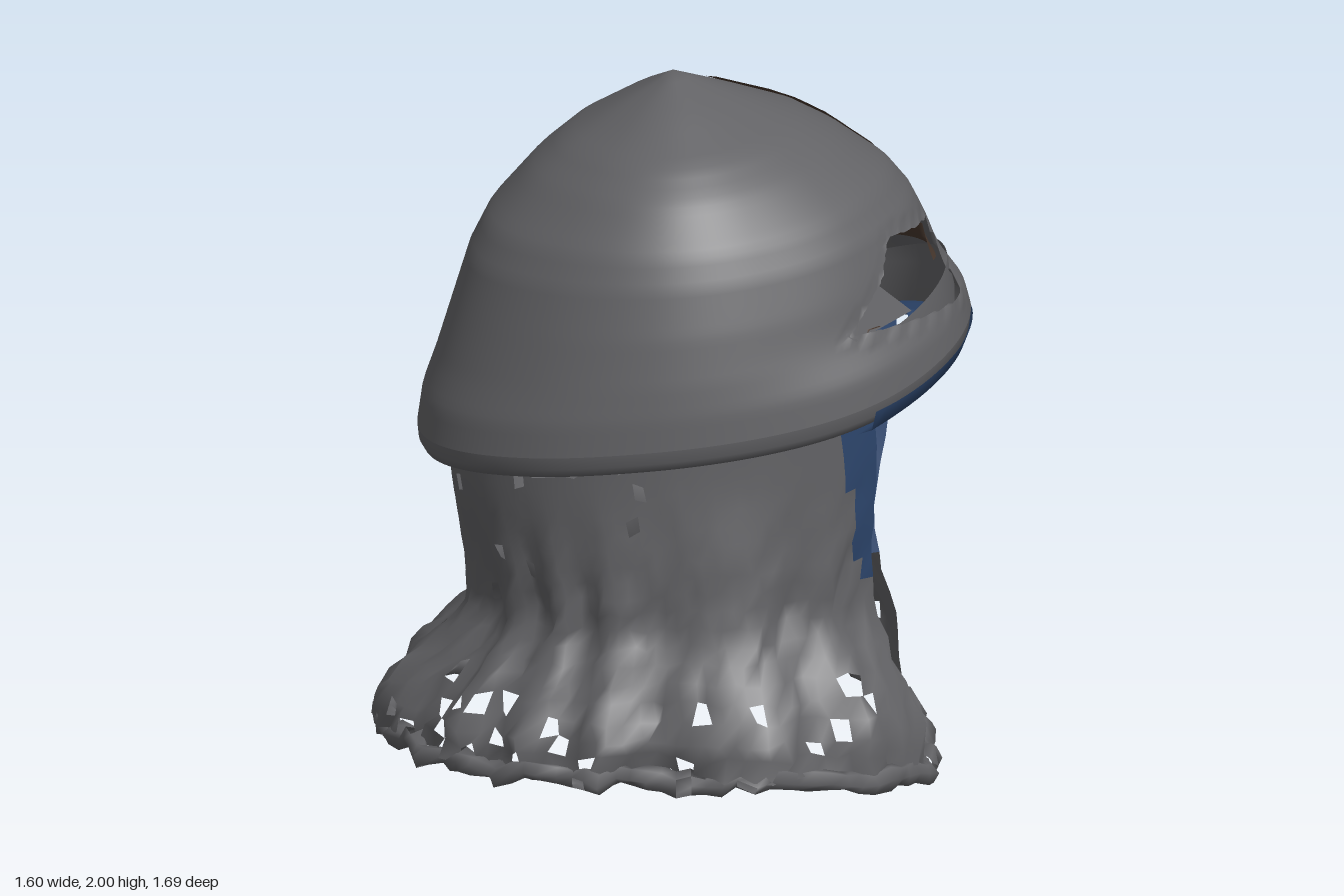
import * as THREE from 'three';
import { mergeVertices } from 'three/addons/utils/BufferGeometryUtils.js';

const rad = THREE.MathUtils.degToRad;
const lerp = THREE.MathUtils.lerp;
const smooth = THREE.MathUtils.smoothstep;

// Repeatable noise from 0 to 1
function hash(i, j, k = 0) {
  const s = Math.sin(i * 127.1 + j * 311.7 + k * 74.7) * 43758.5453;
  return s - Math.floor(s);
}

// Smooth periodic lookup: twelve values, one per 30 degrees (0 = +z, 90 = +x)
function around(values, az) {
  const t = (((az % 360) + 360) % 360) / 30, i = Math.floor(t), s = t - i;
  const p = k => values[(i + k + 12) % 12];
  return p(0) + 0.5 * s * (p(1) - p(-1) + s * (2 * p(-1) - 5 * p(0) + 4 * p(1) - p(2)
    + s * (3 * (p(0) - p(1)) + p(2) - p(-1))));
}

// 1 towards an azimuth, falling to 0 at right angles to it
const towards = (az, centre, power) => Math.pow(Math.max(0, Math.cos(rad(az - centre))), power);

// Surface from a point rule; keep() chooses cells, rows run downwards
function grid(point, nu, nv, keep = () => true) {
  const pos = [], idx = [];
  for (let j = 0; j <= nv; j++) for (let i = 0; i <= nu; i++) pos.push(...point(i, j));
  for (let j = 0; j < nv; j++) for (let i = 0; i < nu; i++) {
    if (!keep(i, j)) continue;
    const a = j * (nu + 1) + i, b = a + 1, c = a + nu + 1, d = c + 1;
    idx.push(a, c, b, b, c, d);
  }
  const g = new THREE.BufferGeometry();
  g.setAttribute('position', new THREE.Float32BufferAttribute(pos, 3));
  g.setIndex(idx);
  const merged = mergeVertices(g, 1e-4);
  merged.computeVertexNormals();
  return merged;
}

// Dome plan and profile: height fraction, radius along the long axis, across it, on the flat flank
const RIM = [0.77, 0.82, 0.82, 0.71, 0.645, 0.645, 0.68, 0.7, 0.73, 0.715, 0.69, 0.7];
const PROFILE = [[0, 1, 1, 1], [0.1, 0.98, 0.99, 0.95], [0.2, 0.93, 0.97, 0.88],
  [0.35, 0.865, 0.93, 0.78], [0.5, 0.8, 0.875, 0.7], [0.6, 0.73, 0.82, 0.64],
  [0.74, 0.56, 0.68, 0.53], [0.82, 0.43, 0.55, 0.43], [0.92, 0.2, 0.28, 0.2], [1, 0, 0, 0]];

function profile(f, az) {
  let k = 0;
  while (k < PROFILE.length - 2 && f > PROFILE[k + 1][0]) k++;
  const p = PROFILE[k], q = PROFILE[k + 1], t = (f - p[0]) / (q[0] - p[0]);
  const [, long, wide, flat] = p.map((v, n) => lerp(v, q[n], t));
  const across = Math.pow(Math.sin(rad(az - 38)), 4);
  const flank = Math.exp(-Math.pow((az - 80) / 22, 2));
  return lerp(lerp(long, wide, across), flat, flank);
}

function rimHeight(az) {
  const r = around(RIM, az), s = Math.sin(rad(az)), c = Math.cos(rad(az));
  return 1.1 + 0.17 * (r * (s + c) - 0.01) * 0.707 + 0.05 * towards(az, 38, 4)
    + 0.055 * towards(az, 280, 2) - 0.05 * towards(az, 115, 2);
}

function domeAt(az, scale, y) {
  const r = around(RIM, az) * scale;
  return [0.04 + r * Math.sin(rad(az)), y, -0.05 + r * Math.cos(rad(az))];
}

function dome(az, f, scale = 1, lift = 0) {
  const brow = 0.02 * towards(az, 20, 4) * Math.exp(-Math.pow((f - 0.24) / 0.1, 2));
  const h = rimHeight(az);
  return domeAt(az, (profile(f, az) - brow) * scale + lift, h + (2 - h) * f + lift * 0.6);
}

// Broken opening in the brow, as a front outline
const BREAK = [[-0.07, 1.385], [0.1, 1.51], [0.17, 1.6], [0.47, 1.56], [0.48, 1.36], [0.25, 1.37]];
const breakEdges = BREAK.map((p, i) => [p, BREAK[(i + 1) % BREAK.length]]);

function inBreak([x, y, z]) {
  let inside = false;
  for (const [[x1, y1], [x2, y2]] of breakEdges)
    if ((y1 > y) !== (y2 > y) && x < x1 + (y - y1) * (x2 - x1) / (y2 - y1)) inside = !inside;
  return inside && z > 0.2;
}

// Pull nearby points onto the outline so that the break has clean edges
function snapToBreak([x, y, z]) {
  let best = 0.017, out = [x, y, z];
  if (z > 0.2) for (const [[x1, y1], [x2, y2]] of breakEdges) {
    const dx = x2 - x1, dy = y2 - y1;
    const t = THREE.MathUtils.clamp(((x - x1) * dx + (y - y1) * dy) / (dx * dx + dy * dy), 0, 1);
    const px = x1 + t * dx, py = y1 + t * dy, d = Math.hypot(x - px, y - py);
    if (d < best) { best = d; out = [px, py, z]; }
  }
  return out;
}

// Neck curtain: tucked under the rim, narrow at the middle, flared hem
const HEM = [0.79, 0.68, 0.68, 0.73, 0.73, 0.74, 0.8, 0.82, 0.8, 0.76, 0.71, 0.77];
const HEM_Y = [0.11, 0.035, 0.05, 0.1, 0.1, 0.09, 0.08, 0.1, 0.14, 0.17, 0.18, 0.17];
const CU = 96, CV = 18;

function curtain(i, j) {
  const v = j / CV, e = Math.min(1, v * 1.6), edge = i < 4 || i > CU - 4;
  const az = lerp(lerp(68, 61, e), lerp(357, 365.5, e), i / CU);
  const s = Math.sin(rad(az)), c = Math.cos(rad(az)), front = towards(az, 30, 2);
  const top = rimHeight(az) - (edge ? 0.05 : 0.075) + 0.03 * (hash(i, 3) - 0.5);
  const y = lerp(top, around(HEM_Y, az) + 0.02, v);
  const [tx, , tz] = domeAt(az, 0.875 + 0.07 * front, 0);
  const w = smooth(v, 0, 0.55), flare = smooth(v, 0.52, 0.95);
  const folds = edge ? 0 : (0.006 + 0.022 * v) * Math.sin(rad(az) * 15 + 2 * Math.sin(rad(az) * 4));
  const r = lerp(0.57 + 0.06 * front, around(HEM, az), flare) + folds
    + 0.025 * (hash(i, j) - 0.5) * (0.3 + v);
  const jit = 0.035 * (hash(i, j, 5) - 0.5) * v, drop = 0.03 * (hash(i, j, 7) - 0.5) * v;
  return [lerp(tx, r * s, w) + jit * c, y + drop, lerp(tz, r * c, w) - jit * s];
}

function curtainTorn(i, j) {
  const v = j / CV;
  const chance = v > 0.72 ? 0.13 : v > 0.08 ? 0.014 : 0.03;
  return i > 2 && i < CU - 3 && hash(i, j, 9) < chance;
}

function curtainTrim(i, j) {
  const v = j / CV, width = v < 0.22 ? 3 : v < 0.42 ? 2 : 1;
  return (i < width && v < 0.58) || (i >= CU - width && v < 0.46);
}

export function createModel() {
  const group = new THREE.Group();
  const material = (name, color) =>
    new THREE.MeshStandardMaterial({ name, color, side: THREE.DoubleSide });
  const grey = material('dark steel', 0x626265);
  const blue = material('blue trim', 0x2d466d);
  const brown = material('brown leather', 0x48382e);
  const add = (name, geometry, mat) => {
    const m = new THREE.Mesh(geometry, mat);
    m.name = name;
    group.add(m);
  };

  // Dome shell with the broken brow
  const DU = 180, DV = 44;
  const shell = (i, j) => dome(i * 360 / DU, 1 - j / DV);
  add('dome', grid((i, j) => snapToBreak(shell(i, j)), DU, DV,
    (i, j) => !inBreak(shell(i + 0.5, j + 0.5))), grey);

  // Thin rim turned under and back up inside
  const lip = [[1, 0], [0.995, -0.035], [0.975, -0.06], [0.945, -0.055], [0.945, 0.06], [0.92, 0.15]];
  add('rim', grid((i, j) => {
    const az = i * 360 / DU;
    return domeAt(az, lip[j][0], rimHeight(az) + lip[j][1]);
  }, DU, lip.length - 1), grey);

  // Inner lining, from crown to just above the rim
  const lining = (i, j) => dome(i * 360 / DU, 1 - 0.8 * j / DV, 0.965);
  add('lining', grid((i, j) => snapToBreak(lining(i, j)), DU, DV,
    (i, j) => !inBreak(lining(i + 0.5, j + 0.5))), brown);

  // Bent plate left inside the break
  const flap = [[[-0.08, 1.39, 0.62], [0.1, 1.51, 0.54]], [[-0.06, 1.37, 0.64], [0.25, 1.365, 0.61]]];
  add('bentPlate', grid((i, j) => flap[j][i], 1, 1), grey);

  // Painted stripe on the side: height fraction and its two edge angles
  const stripe = [[0.92, 77, 88], [0.8, 63, 77], [0.7, 58, 73], [0.6, 56, 71], [0.5, 55, 70],
    [0.35, 54, 68.5], [0.2, 53.5, 67.5], [0.16, 56, 67.5]];
  add('stripe', grid((i, j) => {
    const [f, a, b] = stripe[Math.floor(j / 3)], n = stripe[Math.min(7, Math.floor(j / 3) + 1)];
    const t = (j % 3) / 3;
    return dome(lerp(lerp(a, n[1], t), lerp(b, n[2], t), i / 6), lerp(f, n[0], t), 1, 0.009);
  }, 6, 21), brown);

  // Blue edge and shelf arching over the face opening
  const arch = [[1.006, -0.02], [0.985, -0.066], [0.9, -0.085], [0.86, -0.06], [0.79, -0.035]];
  add('faceArch', grid((i, j) => {
    const t = i / 30, az = lerp(-7, 74, t), side = Math.pow(Math.abs(2 * t - 1), 6);
    return domeAt(az, lerp(arch[j][0], Math.max(0.88, arch[j][0]), side),
      rimHeight(az) + arch[j][1] - 0.012 * side * j);
  }, 30, 4), blue);

  // Torn neck curtain and its blue front edges
  add('neckCurtain', grid(curtain, CU, CV,
    (i, j) => !curtainTorn(i, j) && !curtainTrim(i, j)), grey);
  add('curtainTrim', grid(curtain, CU, CV, curtainTrim), blue);

  // Blue edges turned inwards beside the face opening
  for (const [edge, rows] of [[0, 11], [CU, 9]]) {
    add('turnedEdge', grid((i, j) => {
      const [x, y, z] = curtain(edge, j), k = 1 - i * 0.1 * (1 - 0.6 * j / rows);
      return [x * k, y, z * k];
    }, 1, rows), blue);
  }

  // Ragged rolled hem, which also closes the ring below the chin
  const HU = 110;
  add('hem', grid((i, j) => {
    const n = i % HU, az = n * 360 / HU, k = j % 6, t = -k * Math.PI / 3;
    const size = 0.018 + 0.026 * hash(n, k, 2);
    const r = around(HEM, az) + 0.04 * (hash(n, 1, 4) - 0.5) + size * Math.cos(t);
    const y = around(HEM_Y, az) + 0.03 * (hash(n, 2, 6) - 0.3) + size * Math.sin(t);
    return [r * Math.sin(rad(az)), Math.max(0, y), r * Math.cos(rad(az))];
  }, HU, 6, (i, j) => hash(i, j, 8) > 0.06), grey);

  return group;
}
